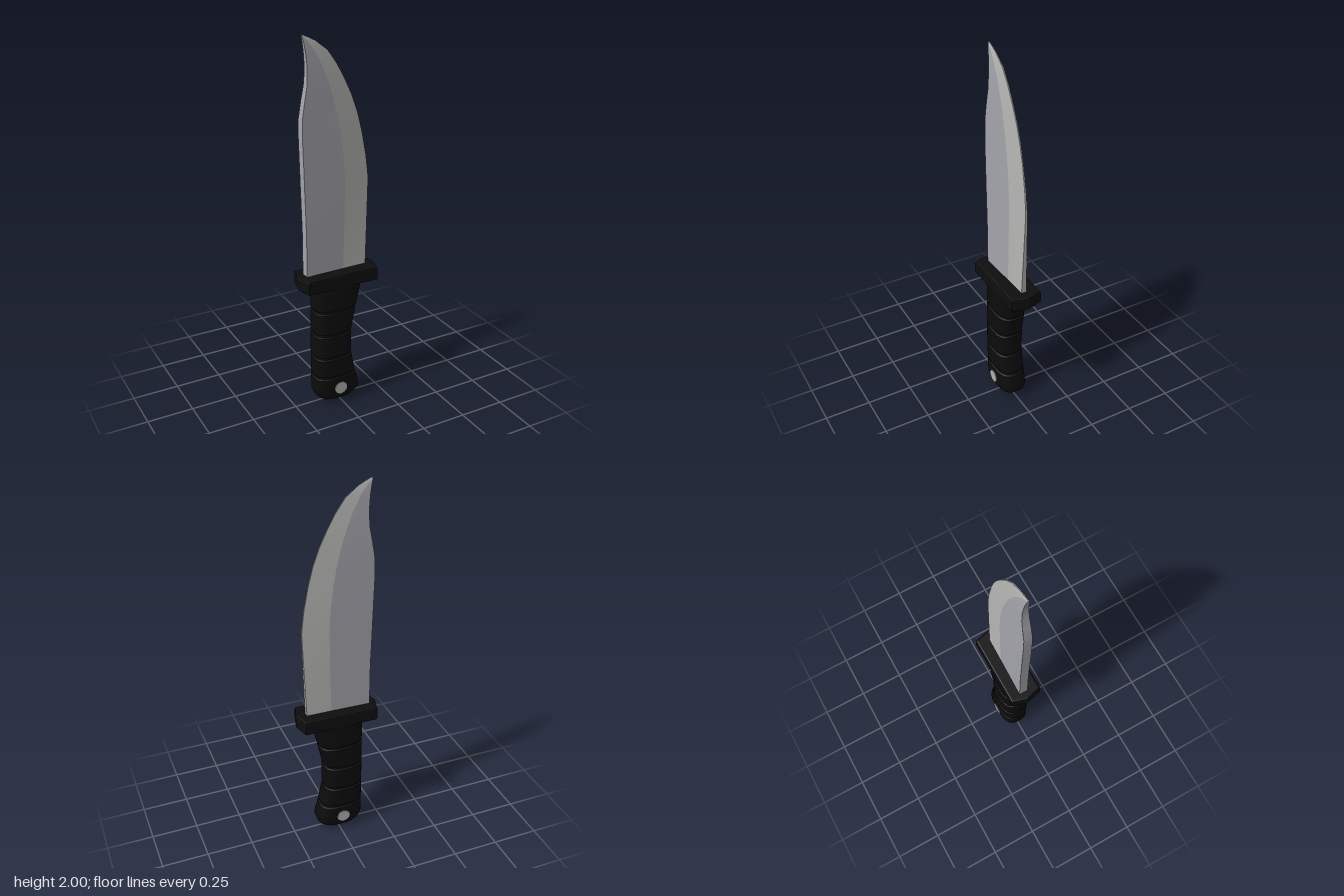
import * as THREE from 'three';
import { toCreasedNormals } from 'three/addons/utils/BufferGeometryUtils.js';

// Closed skin through rings of [x, y, z]; rings run counter-clockwise from above
function loft(rings, crease) {
  const n = rings[0].length, pos = rings.flat(2), idx = [];
  for (let i = 0; i < rings.length - 1; i++) {
    for (let j = 0; j < n; j++) {
      const a = i * n + j, b = i * n + (j + 1) % n;
      idx.push(a, b, b + n, a, b + n, a + n);
    }
  }
  const top = (rings.length - 1) * n;
  for (let j = 1; j < n - 1; j++) {
    idx.push(0, j + 1, j, top, top + j, top + j + 1);
  }
  const g = new THREE.BufferGeometry();
  g.setAttribute('position', new THREE.Float32BufferAttribute(pos, 3));
  g.setIndex(idx);
  return toCreasedNormals(g, crease);
}

function addMesh(parent, name, geometry, color) {
  const mesh = new THREE.Mesh(geometry, new THREE.MeshStandardMaterial({ color }));
  mesh.name = name;
  parent.add(mesh);
  return mesh;
}

// Blade rows: y, spine x, ridge x, edge x, half thickness at spine, ridge, edge
const BLADE = [
  [0.74, -0.18, 0.033, 0.168, 0.024, 0.018, 0.015],
  [1.00, -0.18, 0.04, 0.177, 0.024, 0.018, 0.01],
  [1.25, -0.187, 0.043, 0.185, 0.024, 0.018, 0.005],
  [1.37, -0.19, 0.036, 0.171, 0.024, 0.018, 0.004],
  [1.50, -0.194, 0.02, 0.146, 0.023, 0.017, 0.003],
  [1.60, -0.193, 0.001, 0.12, 0.022, 0.016, 0.003],
  [1.69, -0.178, -0.022, 0.087, 0.021, 0.015, 0.003],
  [1.77, -0.163, -0.047, 0.049, 0.019, 0.014, 0.003],
  [1.85, -0.16, -0.079, 0.005, 0.016, 0.012, 0.003],
  [1.92, -0.166, -0.115, -0.045, 0.012, 0.01, 0.003],
  [1.97, -0.174, -0.15, -0.11, 0.009, 0.007, 0.002],
  [1.99, -0.179, -0.17, -0.15, 0.006, 0.005, 0.002],
  [2.00, -0.181, -0.179, -0.174, 0.004, 0.003, 0.001],
];

// Handle outline: y, left x, right x, half depth
const HANDLE = [
  [0.0, -0.02, 0.015, 0.02], [0.008, -0.065, 0.045, 0.045],
  [0.022, -0.105, 0.085, 0.062], [0.042, -0.128, 0.112, 0.073],
  [0.07, -0.14, 0.122, 0.079], [0.1, -0.14, 0.118, 0.08],
  [0.17, -0.14, 0.097, 0.08], [0.28, -0.14, 0.075, 0.08],
  [0.43, -0.14, 0.075, 0.08], [0.56, -0.14, 0.103, 0.08],
  [0.71, -0.14, 0.138, 0.08],
];
const GROOVES = [0.163, 0.285, 0.423, 0.56];

function handleAt(y) {
  const i = Math.max(1, HANDLE.findIndex(r => r[0] >= y));
  const a = HANDLE[i - 1], b = HANDLE[i], t = (y - a[0]) / (b[0] - a[0]);
  return a.map((v, k) => v + (b[k] - v) * t);
}

// Rounded-rectangle cross-section
function handleRing([y, x0, x1, d]) {
  const ring = [], n = 32, soft = v => Math.sign(v) * Math.abs(v) ** 0.7;
  for (let j = 0; j < n; j++) {
    const a = j / n * Math.PI * 2;
    ring.push([(x0 + x1) / 2 + (x1 - x0) / 2 * soft(Math.cos(a)), y, -d * soft(Math.sin(a))]);
  }
  return ring;
}

export function createModel() {
  const knife = new THREE.Group();
  knife.name = 'knife';

  // Blade: thick flat body and tapering bevel meeting at the ridge
  const blade = new THREE.Group();
  blade.name = 'blade';
  blade.position.z = -0.004;
  knife.add(blade);
  const strip = (y, xa, xb, ta, tb) => [[xb, y, tb], [xb, y, -tb], [xa, y, -ta], [xa, y, ta]];
  addMesh(blade, 'bladeBody',
    loft(BLADE.map(([y, s, r, , ts, tr]) => strip(y, s, r, ts, tr)), 0.5), 0xa4a4ac);
  addMesh(blade, 'bladeBevel',
    loft(BLADE.map(([y, , r, e, , tr, te]) => strip(y, r, e, tr, te)), 0.5), 0xb6b6b4);

  // Guard: six-sided plate with bevelled rims
  const plate = new THREE.Shape([
    [0.214, 0], [0.193, 0.077], [-0.193, 0.077], [-0.214, 0], [-0.193, -0.077], [0.193, -0.077],
  ].map(p => new THREE.Vector2(...p)));
  const guard = new THREE.ExtrudeGeometry(plate, {
    depth: 0.055, bevelThickness: 0.01, bevelSize: 0.01, bevelSegments: 2,
  });
  guard.rotateX(-Math.PI / 2).translate(0, 0.708, 0);
  addMesh(knife, 'guard', guard, 0x0e0e0e);

  // Grip: outline rows plus four narrow grooves
  const rows = HANDLE.filter(r => GROOVES.every(g => Math.abs(r[0] - g) > 0.012));
  for (const g of GROOVES) {
    for (const [dy, inset] of [[-0.011, 0], [-0.006, 0.01], [0.006, 0.01], [0.011, 0]]) {
      const [y, x0, x1, d] = handleAt(g + dy);
      rows.push([y, x0 + inset, x1 - inset, d - inset]);
    }
  }
  rows.sort((a, b) => a[0] - b[0]);
  addMesh(knife, 'grip', loft(rows.map(handleRing), 0.6), 0x0c0c0c);

  // Pin running through the pommel
  const pin = new THREE.CylinderGeometry(0.036, 0.036, 0.168, 24);
  pin.rotateX(Math.PI / 2).translate(-0.014, 0.093, 0);
  addMesh(knife, 'pommelPin', pin, 0xb0b0b0);

  return knife;
}
